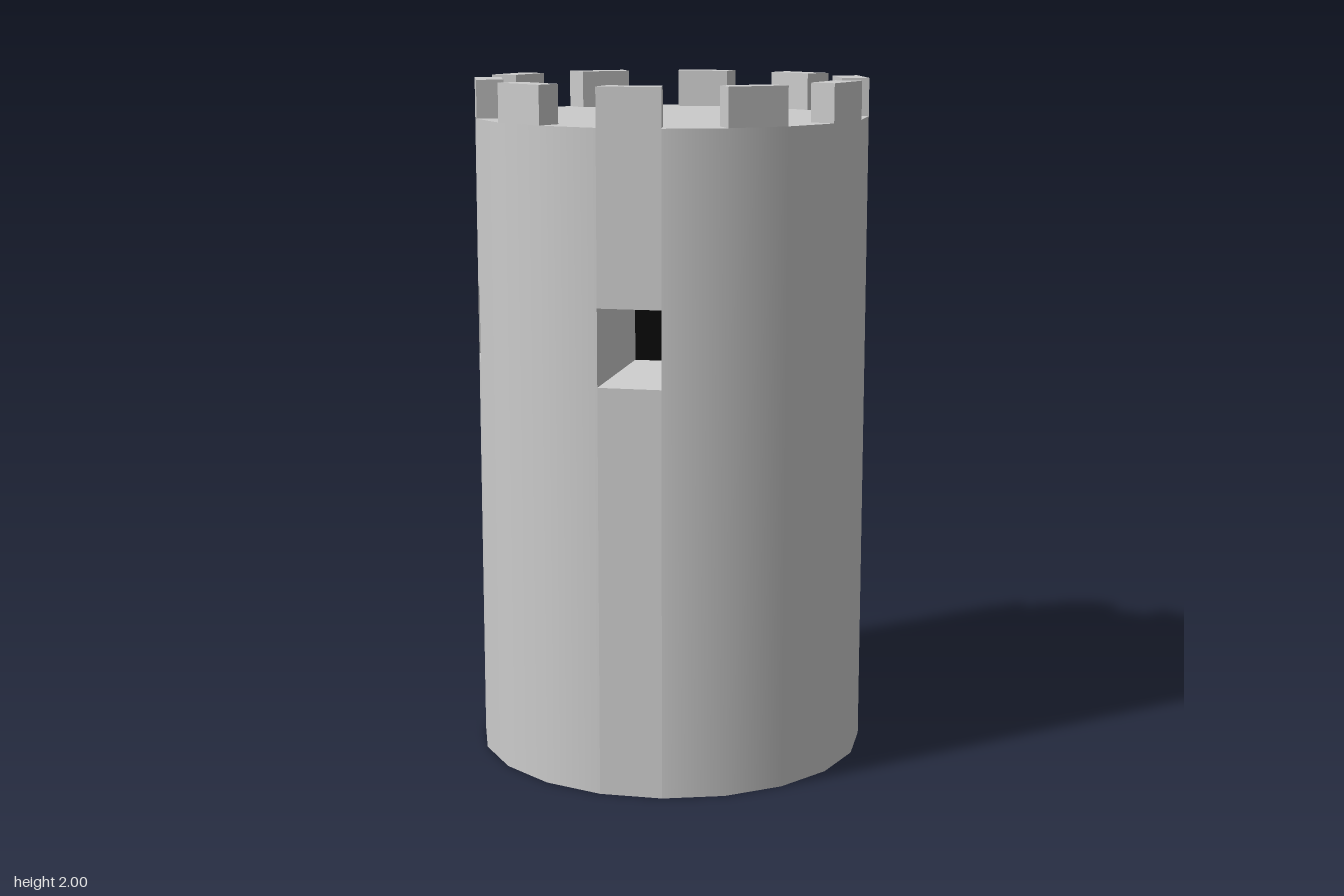
import * as THREE from 'three';

const R = 0.577, INNER = 0.498, DECK = 1.89, TOP = 2;
const SILL = 1.18, LINTEL = 1.4;
const STEP = 18; // degrees per side of the 20-sided tower
const START = 8; // azimuth of one tower corner
const rad = THREE.MathUtils.degToRad;

const material = (color = 0xcccccc, flatShading = false) =>
  new THREE.MeshStandardMaterial({ color, flatShading });
const stone = material();
const flatStone = material(0xcccccc, true);
const dark = material(0x080808);

// Azimuth 0 faces +z and grows toward +x
const polar = (deg, r, y) =>
  new THREE.Vector3(r * Math.sin(rad(deg)), y, r * Math.cos(rad(deg)));

function add(parent, name, geometry, mat) {
  const mesh = new THREE.Mesh(geometry, mat);
  mesh.name = name;
  parent.add(mesh);
  return mesh;
}

// Outer wall over a range of sides and heights
function wall(from, sides, y0, y1) {
  return new THREE.CylinderGeometry(R, R, y1 - y0, sides, 1, true, rad(from), rad(sides * STEP))
    .translate(0, (y0 + y1) / 2, 0);
}

// Flat four-cornered faces, corners counter-clockwise
function quads(list) {
  const points = list.flatMap(([a, b, c, d]) => [a, b, c, a, c, d]);
  const geometry = new THREE.BufferGeometry().setFromPoints(points);
  geometry.computeVertexNormals();
  return geometry;
}

// Window filling one side: wall above and below, slanted reveal, dark back
function makeWindow(name, from, depth, drift, rise) {
  const group = new THREE.Group();
  group.name = name;
  add(group, 'wallBelowWindow', wall(from, 1, 0, SILL), flatStone);
  add(group, 'wallAboveWindow', wall(from, 1, LINTEL, DECK), flatStone);

  const mid = from + STEP / 2;
  const shift = polar(mid, -depth, rise).add(polar(mid + 90, drift, 0));
  const to = from + STEP;
  const outer = [polar(from, R, SILL), polar(to, R, SILL), polar(to, R, LINTEL), polar(from, R, LINTEL)];
  const inner = outer.map((p) => p.clone().add(shift));
  const reveal = outer.map((p, k) => {
    const n = (k + 1) % 4;
    return [p, outer[n], inner[n], inner[k]];
  });
  add(group, 'windowReveal', quads(reveal), stone);
  add(group, 'windowBack', quads([inner]), dark);
  return group;
}

// Battlement block following one side of the tower
function merlonGeometry(from) {
  const corners = [[from, R], [from + STEP, R], [from + STEP, INNER], [from, INNER]];
  const shape = new THREE.Shape(corners.map(([deg, r]) => {
    const p = polar(deg, r, 0);
    return new THREE.Vector2(p.x, -p.z);
  }));
  return new THREE.ExtrudeGeometry(shape, { depth: TOP - DECK, bevelEnabled: false })
    .rotateX(-Math.PI / 2)
    .translate(0, DECK, 0);
}

export function createModel() {
  const tower = new THREE.Group();
  tower.name = 'tower';

  // Smooth round walls between the two windows
  add(tower, 'frontWall', wall(-28, 3, 0, DECK), stone);
  add(tower, 'backWall', wall(44, 15, 0, DECK), stone);

  // Windows
  tower.add(makeWindow('leftWindow', 26, 0.235, 0.055, 0.04));
  tower.add(makeWindow('rightWindow', -46, 0.235, -0.033, 0));

  // Roof deck and base
  add(tower, 'roofDeck', new THREE.CircleGeometry(R, 20, rad(START - 90))
    .rotateX(-Math.PI / 2).translate(0, DECK, 0), stone);
  add(tower, 'base', new THREE.CircleGeometry(R, 20, rad(90 - START))
    .rotateX(Math.PI / 2), stone);

  // Merlons on every second side
  const merlons = new THREE.Group();
  merlons.name = 'battlements';
  for (let i = 0; i < 10; i++) {
    add(merlons, 'merlon', merlonGeometry(START - STEP + i * 2 * STEP), flatStone);
  }
  tower.add(merlons);

  return tower;
}
